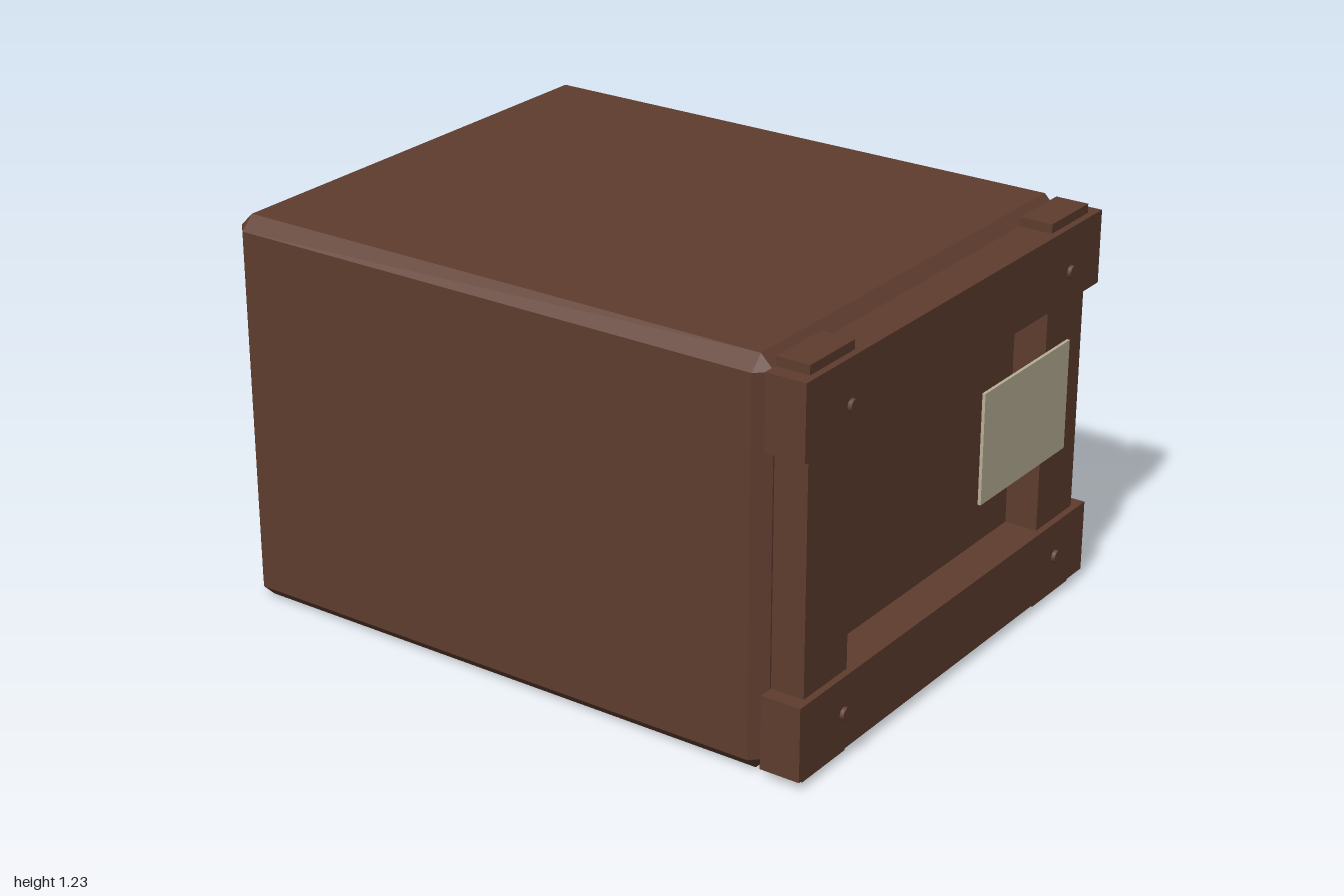
import * as THREE from 'three';
import { ConvexGeometry } from 'three/addons/geometries/ConvexGeometry.js';

// Box with every edge cut at 45 degrees
function chamferedBox(w, h, d, c) {
  const half = [w / 2, h / 2, d / 2];
  const points = [];
  for (const sx of [-1, 1]) for (const sy of [-1, 1]) for (const sz of [-1, 1]) {
    for (let face = 0; face < 3; face++) {
      const p = half.map((v, axis) => (axis === face ? v : v - c));
      points.push(new THREE.Vector3(p[0] * sx, p[1] * sy, p[2] * sz));
    }
  }
  return new ConvexGeometry(points);
}

export function createModel() {
  const model = new THREE.Group();
  model.name = 'crate';
  const wood = new THREE.MeshStandardMaterial({ name: 'brown wood', color: 0x5e3c2e });
  const paper = new THREE.MeshStandardMaterial({ name: 'paper label', color: 0xb8ae95 });

  const add = (name, geometry, material, x, y, z) => {
    const mesh = new THREE.Mesh(geometry, material);
    mesh.name = name;
    mesh.position.set(x, y, z);
    model.add(mesh);
    return mesh;
  };

  // Main body
  add('body', chamferedBox(1.564, 1.226, 1.85, 0.042), wood, 0, 0.613, -0.075);

  // Upright boards on the front
  for (const s of [-1, 1]) {
    add(s > 0 ? 'leftUpright' : 'rightUpright',
      new THREE.BoxGeometry(0.212, 1.226, 0.105), wood, s * 0.628, 0.613, 0.9025);
  }

  // Cross boards, each with a fastener near both ends
  for (const s of [-1, 1]) {
    const y = 0.613 + s * 0.471;
    const row = s > 0 ? 'upper' : 'lower';
    add(row + 'CrossBoard', new THREE.BoxGeometry(1.564, 0.227, 0.127), wood, 0, y, 0.9125);
    for (const x of [-0.584, 0.584]) {
      const bolt = add(row + 'Bolt', new THREE.CylinderGeometry(0.021, 0.021, 0.012, 8),
        wood, x, 0.613 + s * 0.457, 0.994);
      bolt.rotation.x = Math.PI / 2;
    }
  }

  // Shipping label plate
  add('label', new THREE.BoxGeometry(0.483, 0.344, 0.0099), paper, 0.342, 0.688, 0.994);

  return model;
}
